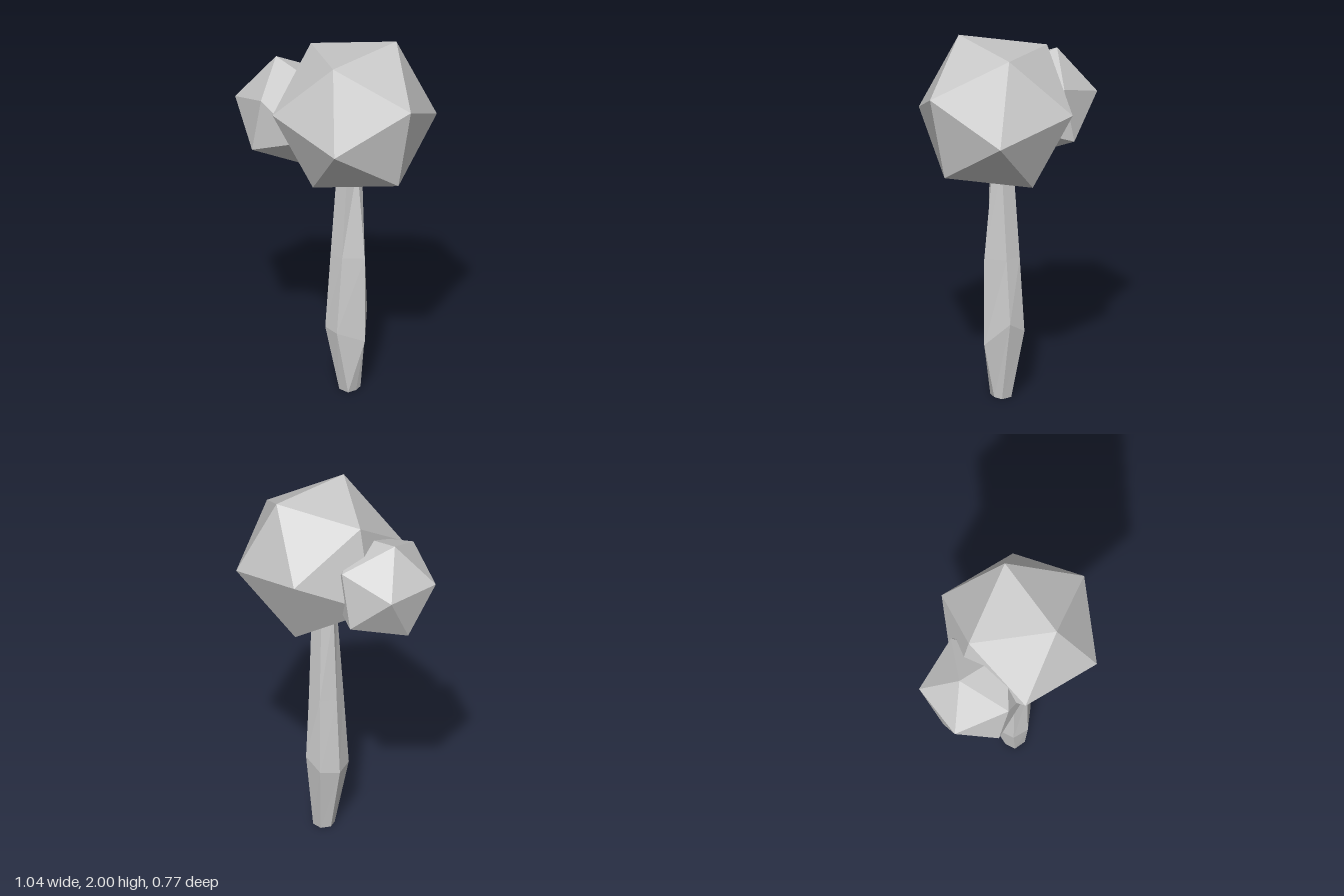
import * as THREE from 'three';

const material = new THREE.MeshStandardMaterial({ color: 0xcccccc, flatShading: true });

// Faceted tube through rings of [x, y, z] corners, ordered left > front > right > back, capped at both ends
function loft(rings) {
  const n = rings[0].length;
  const position = rings.flat(2);
  const index = [];
  for (let r = 0; r < rings.length - 1; r++) {
    for (let i = 0; i < n; i++) {
      const a = r * n + i, b = r * n + (i + 1) % n;
      index.push(a, b, b + n, a, b + n, a + n);
    }
  }
  const top = (rings.length - 1) * n;
  for (let i = 1; i < n - 1; i++) {
    index.push(0, i + 1, i);
    index.push(top, top + i, top + i + 1);
  }
  const geometry = new THREE.BufferGeometry();
  geometry.setAttribute('position', new THREE.Float32BufferAttribute(position, 3));
  geometry.setIndex(index);
  const flat = geometry.toNonIndexed();
  flat.computeVertexNormals();
  return flat;
}

// Icosahedron clump, turned and placed in its geometry
function clump(radius, turnY, turnZ, x, y, z) {
  return new THREE.IcosahedronGeometry(radius, 0)
    .applyMatrix4(new THREE.Matrix4().makeRotationFromEuler(new THREE.Euler(0, turnY, turnZ)))
    .translate(x, y, z);
}

// Move the corner nearest to one point onto another point
function pullCorner(geometry, from, to) {
  const p = geometry.attributes.position;
  const v = new THREE.Vector3();
  for (let i = 0; i < p.count; i++) {
    if (v.fromBufferAttribute(p, i).distanceTo(from) < 0.08) p.setXYZ(i, to.x, to.y, to.z);
  }
  geometry.computeVertexNormals();
  return geometry;
}

export function createModel() {
  const group = new THREE.Group();
  const add = (name, geometry) => {
    const mesh = new THREE.Mesh(geometry, material);
    mesh.name = name;
    group.add(mesh);
  };

  // Trunk: six-sided, swelling low down and narrowing into the foliage
  add('trunk', loft([
    [[0.025, 0, 0], [0.05, 0, 0.05], [0.115, 0, 0.05], [0.125, 0, 0], [0.11, 0, -0.05], [0.05, 0, -0.05]],
    [[-0.045, 0.36, 0], [0, 0.37, 0.105], [0.09, 0.36, 0.11], [0.19, 0.31, 0], [0.1, 0.44, -0.11], [0, 0.38, -0.1]],
    [[-0.02, 0.8, 0], [0.02, 0.8, 0.085], [0.105, 0.8, 0.085], [0.19, 0.8, 0], [0.105, 0.8, -0.085], [0.02, 0.8, -0.085]],
    [[0.005, 1.32, 0], [0.04, 1.32, 0.055], [0.115, 1.32, 0.055], [0.135, 1.32, 0], [0.115, 1.32, -0.055], [0.04, 1.32, -0.055]],
  ]));

  // Large crown
  add('largeFoliage', clump(0.45, -0.02, THREE.MathUtils.degToRad(78.6), 0.115, 1.625, 0));

  // Small side crown with one lower corner pulled in
  add('smallFoliage', pullCorner(
    clump(0.301, 0, THREE.MathUtils.degToRad(-11.8), -0.257, 1.562, 0.107),
    new THREE.Vector3(-0.309, 1.31, 0.265),
    new THREE.Vector3(-0.15, 1.28, 0.2),
  ));

  return group;
}
